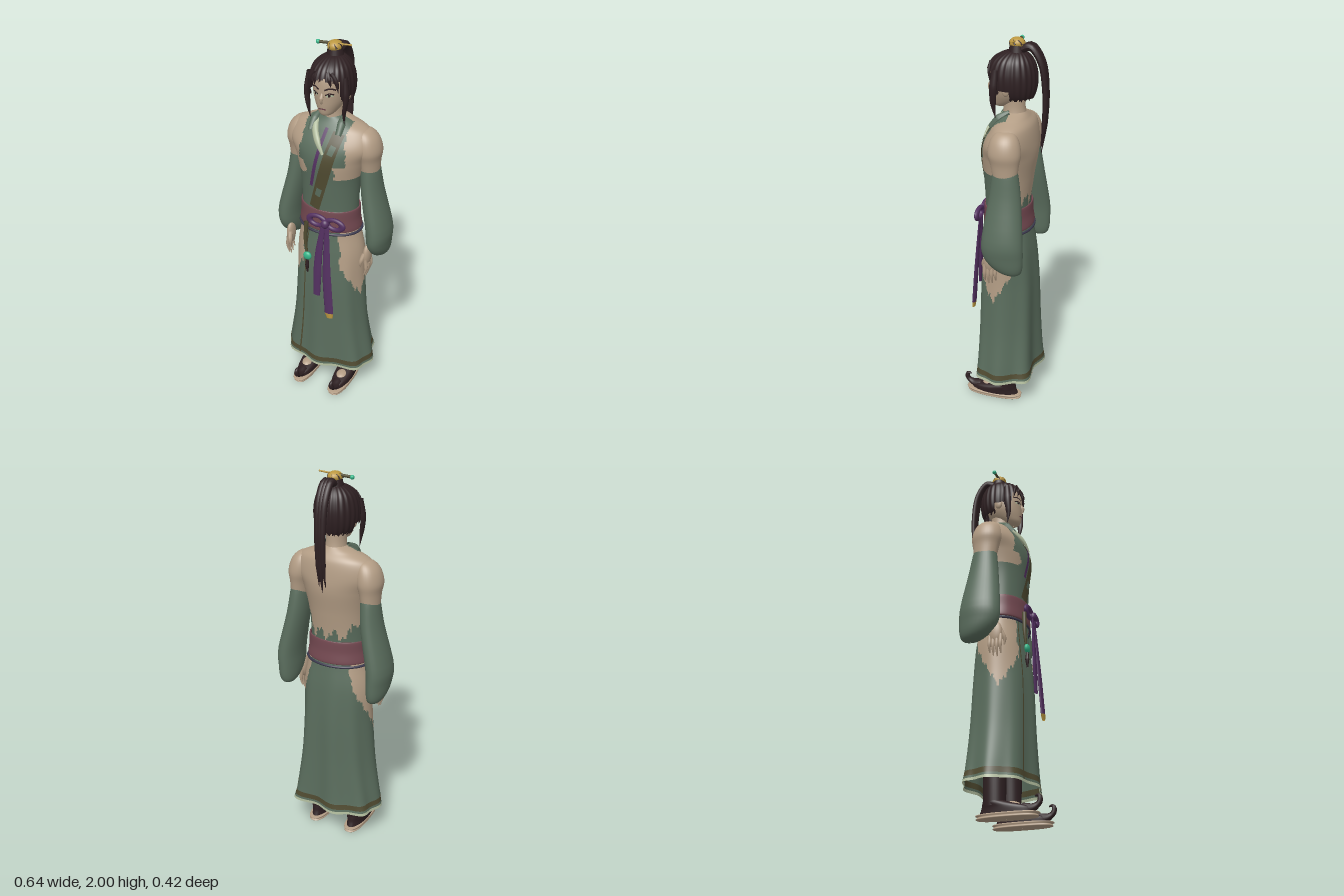
import * as THREE from 'three';

const paint = (name, color) => {
  const m = new THREE.MeshStandardMaterial({ color, side: THREE.DoubleSide });
  m.name = name;
  return m;
};

export function createModel() {
  const skin = paint('skin', 0xb39d85), robe = paint('robeGreen', 0x5a6d5d), hair = paint('darkHair', 0x2e2022);
  const purple = paint('purpleSilk', 0x533060), rose = paint('roseSash', 0x744951), gold = paint('gold', 0xbb9740);
  const jade = paint('jade', 0x35b589), trim = paint('oliveTrim', 0x504b31), pale = paint('paleLining', 0xb0bb9c);
  const navy = paint('navyCord', 0x3b394e);
  const model = new THREE.Group();

  const add = (name, geo, mat, x = 0, y = 0, z = 0) => {
    const m = new THREE.Mesh(geo, mat);
    m.name = name;
    m.position.set(x, y, z);
    model.add(m);
    return m;
  };

  // Section rows run top to bottom: [y, rx, rz, cz, cx, squareness]
  const curves = (rows) => [
    new THREE.CatmullRomCurve3(rows.map(([y, , , cz = 0, cx = 0]) => new THREE.Vector3(cx, y, cz)), false, 'catmullrom'),
    new THREE.CatmullRomCurve3(rows.map(([, rx, rz, , , n = 2]) => new THREE.Vector3(rx, rz, n)), false, 'catmullrom'),
  ];

  // Surface through the rows; pick() chooses the material of each face, or -1 for a gap
  function loft(name, rows, mats, { seg = 32, steps = 24, pick = () => 0, fold = () => 1 } = {}) {
    const [mid, size] = curves(rows), list = [].concat(mats);
    const pos = [], faces = list.map(() => []);
    const bend = (c, n) => Math.sign(c) * Math.abs(c) ** (2 / n);
    for (let i = 0; i <= steps; i++) {
      const v = i / steps, c = mid.getPoint(v), s = size.getPoint(v);
      for (let j = 0; j < seg; j++) {
        const a = (j / seg) * Math.PI * 2, f = fold(v, a);
        pos.push(c.x + bend(Math.cos(a), s.z) * s.x * f, c.y, c.z + bend(Math.sin(a), s.z) * s.y * f);
      }
    }
    for (let i = 0; i < steps; i++) for (let j = 0; j < seg; j++) {
      const k = (j + 1) % seg, a = i * seg + j, b = i * seg + k, c = a + seg, d = b + seg;
      const avg = (o) => (pos[a * 3 + o] + pos[d * 3 + o]) / 2;
      const p = pick(avg(0), avg(1), avg(2), ((j + 0.5) / seg) * Math.PI * 2);
      if (p >= 0) faces[p].push(a, b, c, b, d, c);
    }
    const geo = new THREE.BufferGeometry();
    geo.setAttribute('position', new THREE.Float32BufferAttribute(pos, 3));
    geo.setIndex(faces.flat());
    let start = 0;
    faces.forEach((f, m) => { geo.addGroup(start, f.length, m); start += f.length; });
    geo.computeVertexNormals();
    return add(name, geo, list);
  }

  // Front depth of a lofted surface
  function frontZ(rows, x, y) {
    const [mid, size] = curves(rows);
    let lo = 0, hi = 1;
    for (let i = 0; i < 20; i++) {
      const m = (lo + hi) / 2;
      if (mid.getPoint(m).y > y) lo = m; else hi = m;
    }
    const c = mid.getPoint(lo), s = size.getPoint(lo);
    return c.z + s.y * Math.max(0, 1 - Math.abs((x - c.x) / s.x) ** s.z) ** (1 / s.z);
  }

  // Flat strip lying on the front of a lofted surface
  function strip(name, rows, pts, width, mat, lift = 0.005) {
    const path = new THREE.SplineCurve(pts.map(([x, y]) => new THREE.Vector2(x, y)));
    const geo = new THREE.PlaneGeometry(1, 1, 4, 20), p = geo.attributes.position;
    for (let i = 0; i < p.count; i++) {
      const t = 0.5 - p.getY(i), c = path.getPoint(t), d = path.getTangent(t), w = p.getX(i) * width;
      const x = c.x - d.y * w, y = c.y + d.x * w;
      p.setXYZ(i, x, y, frontZ(rows, x, y) + lift);
    }
    geo.computeVertexNormals();
    return add(name, geo, mat);
  }

  // Tapered tube, optionally flattened along x or z
  function sweep(name, pts, radii, mat, sx = 1, sz = 1, n = 24) {
    const path = new THREE.CatmullRomCurve3(pts.map((p) => new THREE.Vector3(...p)));
    const geo = new THREE.TubeGeometry(path, n, 1, 10), p = geo.attributes.position;
    for (let i = 0; i < p.count; i++) {
      const t = Math.floor(i / 11) / n, c = path.getPointAt(t), k = t * (radii.length - 1);
      const e = Math.min(Math.floor(k), radii.length - 2), r = THREE.MathUtils.lerp(radii[e], radii[e + 1], k - e);
      p.setXYZ(i, c.x + (p.getX(i) - c.x) * r * sx, c.y + (p.getY(i) - c.y) * r, c.z + (p.getZ(i) - c.z) * r * sz);
    }
    geo.computeVertexNormals();
    return add(name, geo, mat);
  }
  const ball = (name, mat, x, y, z, rx, ry, rz) =>
    add(name, new THREE.SphereGeometry(1, 20, 14), mat, x, y, z).scale.set(rx, ry, rz);
  const ragged = (a) => Math.sin(a * 23) * 0.5 + Math.sin(a * 51 + 1) * 0.3;

  // Torso: green bodice in front, bare shoulders and back
  const torso = [[1.64, 0.055, 0.055, -0.04], [1.615, 0.12, 0.072, -0.042], [1.575, 0.198, 0.1, -0.04], [1.5, 0.225, 0.128, -0.026],
    [1.42, 0.188, 0.138, -0.018], [1.3, 0.16, 0.125, -0.012], [1.15, 0.152, 0.112, -0.008], [1.03, 0.158, 0.115, -0.01]];
  loft('torso', torso, [skin, robe], { seg: 128, steps: 90, pick: (x, y, z, a) => {
    const w = Math.abs(x), r = ragged(y * 2 + x);
    if (z < -0.03) return y < 1.19 + 0.05 * ragged(a * 0.5) + (w > 0.115 ? 0.07 : 0) ? 1 : 0;
    if (y > 1.415) return w < 0.13 - (y - 1.42) * 0.1 + 0.008 * r ? 1 : 0;
    return y > 1.34 + 0.012 * r && w > (x > 0 ? 0.07 : 0.092) + 0.02 * r ? 0 : 1;
  } });

  // Crossed collar
  strip('crossBand', torso, [[0.078, 1.58], [0.035, 1.4], [-0.035, 1.16]], 0.06, trim);
  strip('bandEdge', torso, [[0.012, 1.595], [-0.012, 1.45], [-0.047, 1.29]], 0.018, purple, 0.007);
  for (const [y, x] of [[1.5, 0.06], [1.26, -0.005]])
    strip('bandPatch', torso, [[x + 0.008, y + 0.025], [x - 0.006, y - 0.02]], 0.03, robe, 0.008);
  sweep('underCollar', [[-0.065, 1.635, -0.02], [-0.055, 1.585, 0.05], [-0.015, 1.53, 0.1], [0.02, 1.48, 0.118]],
    [0.012, 0.018, 0.018, 0.008], pale, 1, 0.5);
  for (const s of [-1, 1])
    sweep('collarFlap', [[s * 0.06, 1.645, -0.03], [s * 0.072, 1.61, 0.02], [s * 0.075, 1.565, 0.06]], [0.012, 0.026, 0.02], robe, 0.8, 0.8);

  // Skirt with deep hem folds, hem bands and bare hips; folds are [angle, depth]
  const skirt = [[1.08, 0.15, 0.112, -0.012], [1.0, 0.166, 0.118, -0.018], [0.88, 0.188, 0.132, -0.019], [0.7, 0.193, 0.144, -0.016],
    [0.45, 0.212, 0.147, -0.015], [0.25, 0.242, 0.149, -0.015], [0.165, 0.256, 0.15, -0.015]];
  const folds = [[0, 0.03], [45, 0.17], [90, 0.19], [130, 0.13], [180, 0.03], [227, 0.22], [259, 0.28], [304, 0.3]];
  loft('skirt', skirt, [robe, skin, trim, pale], { seg: 160, steps: 130,
    fold: (v, a) => 1 + v ** 1.6 * folds.reduce((sum, [deg, depth]) => {
      const d = Math.abs(a * 180 / Math.PI - deg);
      return sum + depth * Math.exp(-((Math.min(d, 360 - d) / 15) ** 2));
    }, 0),
    pick: (x, y, z, a) => {
      if (y < 0.18) return 3;
      if ((y > 0.19 && y < 0.218) || Math.abs(a - 2.07) < 0.02) return 2;
      const side = Math.atan2(Math.sin(a), Math.abs(Math.cos(a)));
      return Math.abs(side - 0.08) < 0.9 + 0.06 * ragged(y * 2)
        && y > 0.64 + 0.24 * Math.abs(side - 0.25) + 0.025 * ragged(a) ? 1 : 0;
    } });

  // Sash, cord, bow and ribbon tails
  loft('sash', [[1.155, 0.155, 0.116, -0.01], [1.15, 0.162, 0.122, -0.01], [1.095, 0.163, 0.124, -0.01], [1.04, 0.17, 0.128, -0.013],
    [1.035, 0.16, 0.118, -0.013]], rose, { seg: 48 });
  const cord = add('waistCord', new THREE.TorusGeometry(1, 0.04, 8, 64), navy, 0, 1.022, -0.014);
  cord.rotation.x = Math.PI / 2;
  cord.scale.set(0.17, 0.127, 0.17);
  for (const s of [-1, 1])
    add('bowLoop', new THREE.TorusGeometry(0.034, 0.014, 10, 28), purple, 0.04 + s * 0.05, 1.1, 0.122).scale.set(1.3, 0.8, 0.8);
  ball('bowKnot', purple, 0.04, 1.095, 0.13, 0.022, 0.025, 0.02);
  sweep('ribbonTail', [[0.03, 1.09, 0.13], [0.008, 0.9, 0.142], [0, 0.65, 0.152]], [0.012, 0.02, 0.024, 0.02], purple, 1, 0.35);
  sweep('ribbonTail', [[0.05, 1.09, 0.13], [0.06, 0.8, 0.15], [0.08, 0.56, 0.162]], [0.012, 0.02, 0.026, 0.026], purple, 1, 0.35);
  sweep('ribbonTip', [[0.08, 0.56, 0.162], [0.085, 0.53, 0.163]], [0.026, 0.018], gold, 1, 0.35);

  // Hanging jade ornament
  sweep('pendantCord', [[-0.075, 1.07, 0.118], [-0.08, 0.95, 0.122], [-0.068, 0.87, 0.126]], [0.012, 0.01, 0.006], trim);
  ball('jadeBead', jade, -0.066, 0.868, 0.13, 0.024, 0.024, 0.014);
  sweep('pendantTassel', [[-0.066, 0.85, 0.13], [-0.068, 0.8, 0.13], [-0.066, 0.765, 0.13]], [0.006, 0.011, 0.004], hair);

  // Neck, face and features
  loft('neck', [[1.74, 0.05, 0.055, -0.035], [1.66, 0.05, 0.055, -0.038], [1.61, 0.062, 0.062, -0.04], [1.58, 0.09, 0.065, -0.04]], skin);
  const face = [[1.9, 0.03, 0.04, -0.025], [1.86, 0.078, 0.088, -0.018], [1.8, 0.086, 0.1, -0.016], [1.74, 0.078, 0.096, -0.013],
    [1.695, 0.057, 0.076, 0.003], [1.665, 0.032, 0.04, 0.03], [1.655, 0.003, 0.004, 0.035]];
  loft('face', face, skin, { seg: 40 });
  for (const s of [-1, 1]) {
    strip('eyeWhite', face, [[s * 0.022, 1.772], [s * 0.036, 1.774], [s * 0.052, 1.774]], 0.012, pale, 0.002);
    strip('iris', face, [[s * 0.031, 1.774], [s * 0.042, 1.774]], 0.012, hair, 0.003);
    strip('upperLid', face, [[s * 0.019, 1.775], [s * 0.037, 1.784], [s * 0.056, 1.778]], 0.006, hair, 0.003);
    strip('brow', face, [[s * 0.015, 1.8], [s * 0.04, 1.809], [s * 0.062, 1.801]], 0.007, hair, 0.003);
    ball('ear', skin, s * 0.088, 1.76, -0.02, 0.012, 0.03, 0.02);
  }
  strip('mouth', face, [[-0.02, 1.699], [0, 1.702], [0.02, 1.699]], 0.007, rose, 0.003);
  sweep('nose', [[0, 1.785, 0.078], [0, 1.75, 0.09], [0, 1.728, 0.088]], [0.005, 0.011, 0.004], skin);

  // Hair cap with a parted, ragged fringe
  loft('hairCap', [[1.94, 0.004, 0.004, -0.045], [1.93, 0.05, 0.055, -0.04], [1.895, 0.09, 0.1, -0.03], [1.84, 0.108, 0.122, -0.026],
    [1.78, 0.11, 0.123, -0.027], [1.73, 0.098, 0.11, -0.03], [1.69, 0.066, 0.082, -0.04]], hair, { seg: 120, steps: 60,
    fold: (v, a) => 1 + 0.022 * Math.cos(24 * a),
    pick: (x, y, z, a) => {
      const w = Math.abs(x);
      const low = z > 0.015 ? (w > 0.082 ? 1.74 : 1.855 - 0.3 * Math.abs(x - 0.015) + 0.012 * ragged(a * 0.8))
        : z > -0.04 ? 1.76 : 1.71 + 0.012 * ragged(a);
      return y > low ? 0 : -1;
    } });
  for (const s of [-1, 1]) {
    sweep('sideLock', [[s * 0.098, 1.86, 0.03], [s * 0.106, 1.76, 0.038], [s * 0.096, 1.68, 0.04], [s * 0.092, 1.62, 0.03]],
      [0.012, 0.017, 0.013, 0.001], hair, 0.8, 1.2);
    for (const [x, y] of [[0.04, 1.815], [0.07, 1.79]])
      sweep('fringeLock', [[s * x * 0.6, 1.885, 0.07], [s * x * 0.95, 1.85, 0.094 - x * 0.35], [s * x * 1.1, y, 0.09 - x * 0.4]],
        [0.01, 0.012, 0.001], hair, 1, 0.6);
  }

  // Topknot, crown, pin and ponytail
  add('topknot', new THREE.CylinderGeometry(0.034, 0.045, 0.05, 24), hair, 0, 1.945, -0.05);
  ball('crown', gold, 0, 1.972, -0.05, 0.037, 0.028, 0.04);
  for (let i = 0; i < 7; i++) {
    const a = i * Math.PI / 3.5, at = (t, r, y) => [Math.cos(a + t) * r, y, -0.05 + Math.sin(a + t) * r];
    sweep('crownGroove', [at(0, 0.037, 1.968), at(0.25, 0.033, 1.984), at(0.6, 0.026, 1.991)], [0.005, 0.003, 0.001], hair, 1, 1, 8);
  }
  sweep('hairpin', [[-0.095, 1.977, -0.047], [0.088, 1.99, -0.047]], [0.005, 0.005, 0.004], gold);
  sweep('pinSleeve', [[-0.09, 1.978, -0.047], [-0.03, 1.982, -0.047]], [0.007, 0.007], trim);
  ball('pinBead', jade, -0.09, 1.978, -0.047, 0.011, 0.011, 0.011);
  for (const s of [-1, 0, 1])
    sweep('ponytail', [[s * 0.008, 1.945, -0.075], [s * 0.014, 1.96, -0.12], [s * 0.015, 1.89, -0.172], [s * 0.013, 1.75, -0.195],
      [s * 0.013, 1.58, -0.192], [s * 0.018, 1.43 + Math.abs(s) * 0.03, -0.178]], [0.02, 0.02, 0.019, 0.017, 0.014, 0.001], hair, 1, 0.8, 40);

  // Arms, sleeves, hands, legs and shoes
  for (const s of [-1, 1]) {
    const side = (rows) => rows.map(([y, rx, rz, cz, cx]) => [y, rx, rz, cz, cx * s]);
    loft('shoulder', side([[1.59, 0.003, 0.003, -0.045, 0.165], [1.578, 0.036, 0.045, -0.045, 0.172], [1.54, 0.06, 0.072, -0.045, 0.182],
      [1.48, 0.067, 0.083, -0.046, 0.191], [1.42, 0.052, 0.07, -0.05, 0.197], [1.32, 0.042, 0.055, -0.055, 0.203]]), skin);
    loft('sleeve', side([[1.415, 0.036, 0.055, -0.052, 0.198], [1.38, 0.046, 0.065, -0.054, 0.2], [1.25, 0.054, 0.082, -0.056, 0.214],
      [1.05, 0.061, 0.105, -0.055, 0.257], [0.96, 0.056, 0.104, -0.059, 0.259], [0.9, 0.047, 0.08, -0.08, 0.257],
      [0.868, 0.03, 0.045, -0.1, 0.253], [0.86, 0.002, 0.002, -0.105, 0.25]]), robe);
    ball('palm', skin, s * 0.228, 0.905, 0.018, 0.02, 0.062, 0.036);
    for (let i = 0; i < 4; i++) {
      const z = 0.046 - i * 0.019, low = [0.79, 0.775, 0.78, 0.798][i];
      sweep('finger', [[s * 0.23, 0.89, z], [s * 0.236, 0.83, z], [s * 0.226, low, z]], [0.01, 0.01, 0.003], skin, 1, 1, 10);
    }
    sweep('thumb', [[s * 0.222, 0.92, 0.04], [s * 0.212, 0.875, 0.06], [s * 0.208, 0.84, 0.058]], [0.013, 0.011, 0.003], skin, 1, 1, 10);

    loft('leg', side([[0.7, 0.07, 0.07, -0.025, 0.1], [0.3, 0.054, 0.06, -0.025, 0.11], [0.06, 0.047, 0.054, -0.024, 0.112]]), hair);
    loft('shoe', side([[0.085, 0.046, 0.056, -0.026, 0.112], [0.07, 0.05, 0.085, 0, 0.112], [0.05, 0.05, 0.122, 0.033, 0.112],
      [0.022, 0.048, 0.135, 0.035, 0.112]]), hair);
    ball('instep', skin, s * 0.112, 0.058, 0.06, 0.034, 0.023, 0.048);
    sweep('toeCurl', [[s * 0.112, 0.04, 0.12], [s * 0.112, 0.046, 0.168], [s * 0.112, 0.07, 0.198], [s * 0.112, 0.1, 0.195],
      [s * 0.112, 0.098, 0.175]], [0.03, 0.022, 0.014, 0.012, 0.004], hair);
    loft('sole', side([[0.026, 0.002, 0.002, 0.04, 0.112], [0.025, 0.048, 0.147, 0.04, 0.112], [0.012, 0.049, 0.148, 0.04, 0.112],
      [0.001, 0.046, 0.142, 0.036, 0.112], [0, 0.002, 0.002, 0.036, 0.112]]).map((r) => [...r, 2.6]), skin);
  }
  return model;
}
